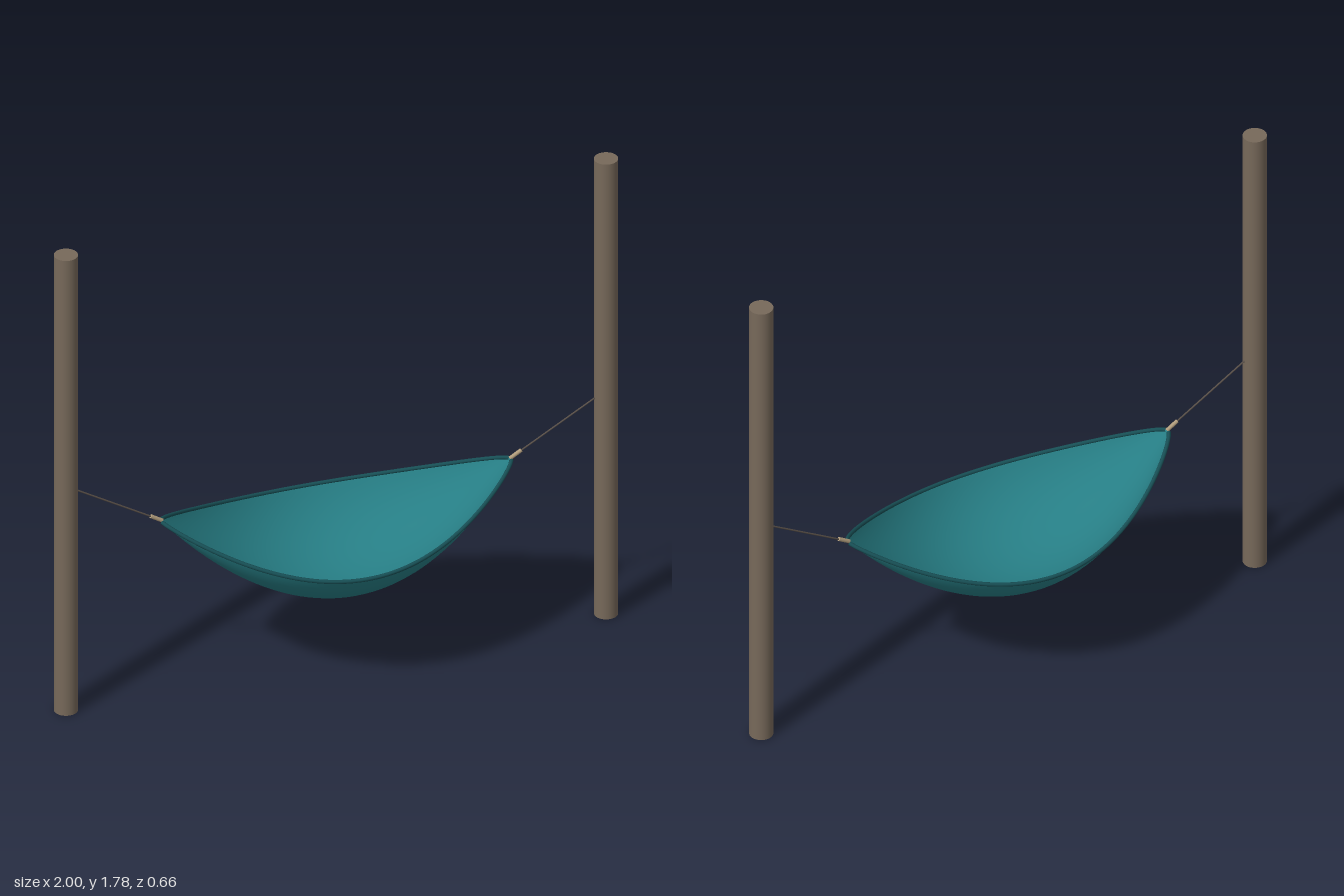
import * as THREE from 'three';

const HALF = 0.62; // half length of the cloth
const ARC = 1.09; // half angle of the cross-section arc

// Point on the cloth: s runs -1..1 along the length, v runs -1..1 across
function clothPoint(s, v) {
  const width = 0.008 + 0.315 * Math.pow(Math.max(0, Math.cos(s * Math.PI / 2)), 0.8);
  const depth = 0.195 * (1 - s * s);
  const bottom = 0.31 + 0.36 * s * s;
  const t = v * ARC;
  return new THREE.Vector3(
    s * HALF,
    bottom + depth * (1 - Math.cos(t)) / (1 - Math.cos(ARC)),
    width * Math.sin(t) / Math.sin(ARC)
  );
}

function named(name, geometry, material) {
  const mesh = new THREE.Mesh(geometry, material);
  mesh.name = name;
  return mesh;
}

// Straight round bar between two points
function bar(name, a, b, radius, material) {
  const geometry = new THREE.TubeGeometry(new THREE.LineCurve3(a, b), 1, radius, 10);
  return named(name, geometry, material);
}

export function createModel() {
  const wood = new THREE.MeshStandardMaterial({ name: 'wood brown', color: 0x77695a });
  const teal = new THREE.MeshStandardMaterial({ name: 'teal cloth', color: 0x267d84, side: THREE.DoubleSide });
  const darkTeal = new THREE.MeshStandardMaterial({ name: 'dark teal hem', color: 0x174f55 });
  const ropeGrey = new THREE.MeshStandardMaterial({ name: 'dark rope', color: 0x584f48 });
  const beige = new THREE.MeshStandardMaterial({ name: 'beige binding', color: 0xb09c7c });

  const model = new THREE.Group();
  model.name = 'hammock';

  // Cloth, a grid bent into a hanging boat shape, finer towards the tips
  const cloth = new THREE.PlaneGeometry(2, 2, 64, 28);
  const pos = cloth.attributes.position;
  for (let i = 0; i < pos.count; i++) {
    const p = clothPoint(Math.sin(pos.getX(i) * Math.PI / 2), -pos.getY(i));
    pos.setXYZ(i, p.x, p.y, p.z);
  }
  cloth.computeVertexNormals();
  model.add(named('cloth', cloth, teal));

  // Hems along both long edges
  for (const side of [-1, 1]) {
    const points = [];
    for (let i = 0; i <= 32; i++) {
      points.push(clothPoint(Math.sin((i / 16 - 1) * Math.PI / 2), side));
    }
    const hem = new THREE.TubeGeometry(new THREE.CatmullRomCurve3(points), 80, 0.007, 8);
    model.add(named(side > 0 ? 'frontHem' : 'backHem', hem, darkTeal));
  }

  // Post, rope and binding at each end
  for (const side of [-1, 1]) {
    const label = side > 0 ? 'left' : 'right';
    const post = named(label + 'Post', new THREE.CylinderGeometry(0.041, 0.041, 1.78, 32), wood);
    post.position.set(side * 0.959, 0.89, 0);
    model.add(post);

    const at = (x, y) => new THREE.Vector3(side * x, y, 0);
    model.add(bar(label + 'Rope', at(0.93, 0.857), at(0.62, 0.675), 0.003, ropeGrey));

    const start = at(0.617, 0.673);
    const end = at(0.658, 0.698);
    const binding = named(label + 'Binding',
      new THREE.CylinderGeometry(0.007, 0.007, start.distanceTo(end), 12), beige);
    binding.position.copy(start).lerp(end, 0.5);
    binding.quaternion.setFromUnitVectors(new THREE.Vector3(0, 1, 0), end.clone().sub(start).normalize());
    model.add(binding);
  }

  return model;
}
